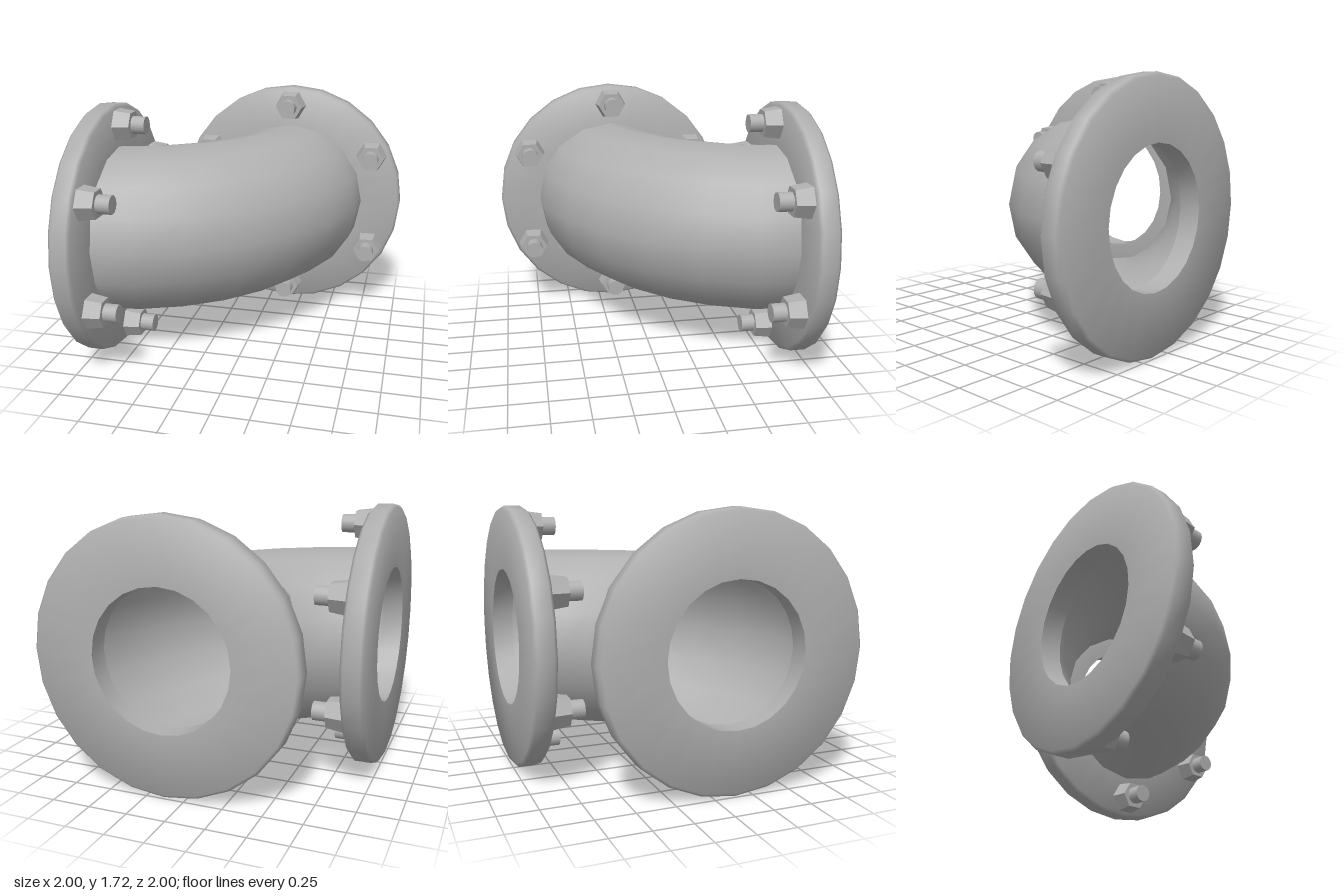
import * as THREE from 'three';
import { toCreasedNormals } from 'three/addons/utils/BufferGeometryUtils.js';

const CENTRE_Y = 0.86;

// Bent pipe skin: 16-sided rings swept in the horizontal plane
function elbowGeometry() {
  const sides = 16, radius = 0.572;
  // [centre x, centre z, ring angle in degrees] for half of the bend
  const half = [[0.14, -0.96, 0], [0.133, -0.759, 16], [0.034, -0.511, 27.3], [-0.106, -0.295, 38.5]];
  const rings = [...half, ...half.map(([x, z, a]) => [z, x, 90 - a]).reverse()];
  const pos = [], index = [];
  rings.forEach(([x, z, deg], i) => {
    const t = THREE.MathUtils.degToRad(deg);
    for (let j = 0; j < sides; j++) {
      const a = (j / sides) * Math.PI * 2;
      const out = radius * Math.cos(a);
      pos.push(x + out * Math.cos(t), CENTRE_Y + radius * Math.sin(a), z + out * Math.sin(t));
      if (i < rings.length - 1) {
        const k = (j + 1) % sides;
        const p = i * sides + j, q = i * sides + k;
        index.push(p, q, p + sides, q, q + sides, p + sides);
      }
    }
  });
  const g = new THREE.BufferGeometry();
  g.setAttribute('position', new THREE.Float32BufferAttribute(pos, 3));
  g.setIndex(index);
  g.computeVertexNormals();
  return g;
}

export function createModel() {
  const model = new THREE.Group();
  model.name = 'pipeElbow';
  const metal = new THREE.MeshStandardMaterial({ color: 0xb0b0b0, side: THREE.DoubleSide });
  metal.name = 'grey metal';

  const add = (parent, geometry, name) => {
    const mesh = new THREE.Mesh(geometry, metal);
    mesh.name = name;
    parent.add(mesh);
    return mesh;
  };

  add(model, elbowGeometry(), 'bentPipe');

  // Ring with a bore and softened outer rim; local +y points towards the pipe
  const profile = [[0.45, 0.14], [0.45, 0], [0.84, 0], [0.86, 0.02], [0.86, 0.12], [0.84, 0.14], [0.45, 0.14]]
    .map(([r, y]) => new THREE.Vector2(r, y));
  const flangeGeo = toCreasedNormals(new THREE.LatheGeometry(profile, 24), 0.9);

  // Tapered hex nut with a protruding stud
  const nutGeo = toCreasedNormals(
    new THREE.CylinderGeometry(0.098, 0.115, 0.115, 6).rotateY(Math.PI / 6), 0.5);
  const studGeo = new THREE.CylinderGeometry(0.06, 0.06, 0.21, 16);

  function flange(name) {
    const group = new THREE.Group();
    group.name = name;
    add(group, flangeGeo, 'flangeRing');
    for (let i = 0; i < 6; i++) {
      const a = Math.PI / 6 + (i * Math.PI) / 3;
      const bolt = new THREE.Group();
      bolt.name = 'bolt';
      bolt.position.set(0.725 * Math.cos(a), 0.14, 0.725 * Math.sin(a));
      add(bolt, nutGeo, 'nut').position.y = 0.0555;
      add(bolt, studGeo, 'stud').position.y = 0.1;
      group.add(bolt);
    }
    model.add(group);
    return group;
  }

  // Back flange faces +z, side flange faces +x
  const back = flange('backFlange');
  back.rotation.x = Math.PI / 2;
  back.position.set(0.14, CENTRE_Y, -1);

  const side = flange('sideFlange');
  side.rotation.set(Math.PI / 2, Math.PI / 2, 0, 'YXZ');
  side.position.set(-1, CENTRE_Y, 0.14);

  return model;
}
